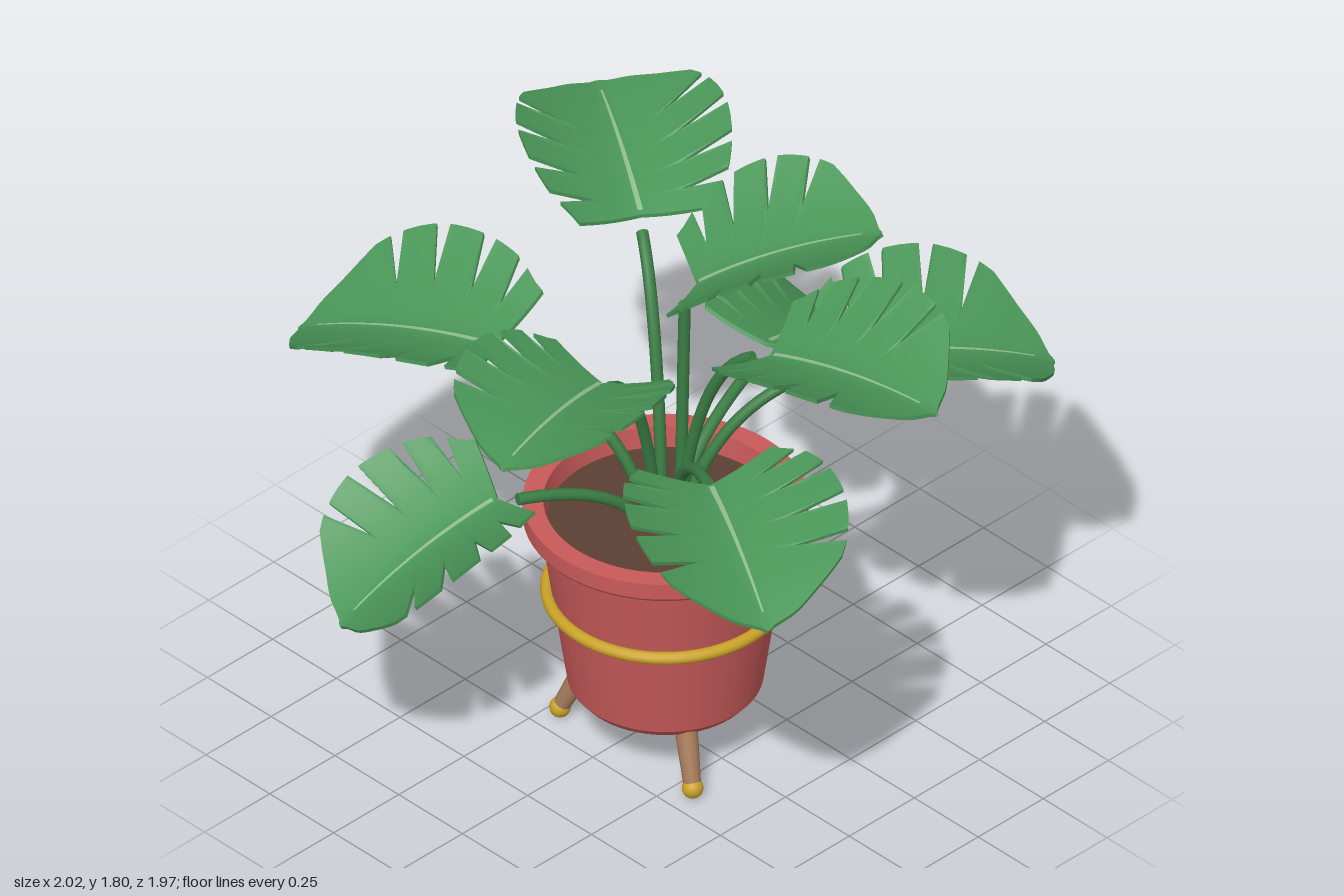
import * as THREE from 'three';
import { toCreasedNormals } from 'three/addons/utils/BufferGeometryUtils.js';

const mat = (name, color) => {
  const m = new THREE.MeshStandardMaterial({ color });
  m.name = name;
  return m;
};
const red = mat('red glaze', 0xc95a5a);
const soilBrown = mat('soil brown', 0x5c4033);
const gold = mat('gold', 0xc9a227);
const wood = mat('wood', 0xa67b5b);
const stemGreen = mat('stem green', 0x3a7d44);
const leafGreen = mat('leaf green', 0x4a9658);
const veinGreen = mat('pale vein green', 0x8fbc8f);

const V = (x, y, z) => new THREE.Vector3(x, y, z);
const CX = 0.06, CZ = 0.03; // pot axis

function add(parent, name, geometry, material) {
  const mesh = new THREE.Mesh(geometry, material);
  mesh.name = name;
  parent.add(mesh);
  return mesh;
}

// Half width of the blade along the midrib, for a leaf of length 1
const outline = new THREE.SplineCurve(
  [0.33, 0.45, 0.51, 0.52, 0.47, 0.375, 0.265, 0.15, 0.004].map((w, i) => new THREE.Vector2(i / 8, w)));
const SLITS = [0.1, 0.22, 0.36, 0.5];
const SLIT_HALF = 0.02;

// A point on the cupped blade: t along the midrib, w sideways (signed)
function bladePoint(t, w, length) {
  const a = Math.abs(w);
  const skew = Math.min(0.5, -0.3 + 1.4 * t);
  const along = t + skew * a;
  const rise = 0.2 * a + 0.42 * a * a + 0.2 * along * (1 - along);
  return V(w * length, rise * length, along * length);
}

// Closed blade: one ring of top and underside points per row
function bladeGeometry(length) {
  const rows = SLITS.flatMap(s => [s - SLIT_HALF, s, s + SLIT_HALF]);
  for (let i = 0; i <= 28; i++) {
    if (SLITS.every(s => Math.abs(i / 28 - s) > SLIT_HALF * 1.2)) rows.push(i / 28);
  }
  rows.sort((a, b) => a - b);
  const half = 5, m = 2 * half + 1, ring = 2 * m, thickness = 0.012;
  const pos = [], idx = [];
  for (const t of rows) {
    let w = outline.getPoint(t).y;
    for (const s of SLITS) w *= 1 - 0.5 * Math.max(0, 1 - Math.abs(t - s) / SLIT_HALF);
    const top = [];
    for (let i = 0; i < m; i++) top.push(bladePoint(t, w * (i - half) / half, length));
    top.forEach(p => pos.push(p.x, p.y, p.z));
    top.reverse().forEach(p => pos.push(p.x, p.y - thickness, p.z));
  }
  for (let r = 0; r < rows.length - 1; r++) {
    for (let i = 0; i < ring; i++) {
      const j = (i + 1) % ring;
      const a = r * ring + i, b = r * ring + j, c = b + ring, d = a + ring;
      idx.push(a, d, b, b, d, c);
    }
  }
  for (let i = 0; i < m - 1; i++) { // close the stem end
    idx.push(i, i + 1, ring - 2 - i, i, ring - 2 - i, ring - 1 - i);
  }
  const g = new THREE.BufferGeometry();
  g.setAttribute('position', new THREE.Float32BufferAttribute(pos, 3));
  g.setIndex(idx);
  return toCreasedNormals(g, 0.7);
}

// Thin tapered strip lying on the midrib
function veinGeometry(length) {
  const g = new THREE.PlaneGeometry(2, 1, 2, 16).rotateX(-Math.PI / 2);
  const p = g.attributes.position;
  for (let i = 0; i < p.count; i++) {
    const t = 0.02 + 0.88 * (p.getZ(i) + 0.5);
    const q = bladePoint(t, 0, length);
    const x = p.getX(i) * 0.008 * (1 - 0.7 * t);
    p.setXYZ(i, x, q.y + 0.004 + Math.abs(x) * 0.2, q.z);
  }
  g.computeVertexNormals();
  return g;
}

function makeLeaf(base, tip) {
  const leaf = new THREE.Group();
  leaf.name = 'leaf';
  const f = tip.clone().sub(base);
  const length = f.length();
  f.normalize();
  const side = V(0, 1, 0).cross(f).normalize();
  const up = f.clone().cross(side);
  leaf.quaternion.setFromRotationMatrix(new THREE.Matrix4().makeBasis(side, up, f));
  leaf.position.copy(base);
  add(leaf, 'leafBlade', bladeGeometry(length), leafGreen);
  add(leaf, 'leafVein', veinGeometry(length), veinGreen);
  return leaf;
}

// Stem rising from the soil and bowing outward
function makeStem(end) {
  const out = V(end.x - CX, 0, end.z - CZ);
  const start = V(CX, 0.7, CZ).addScaledVector(out.clone().normalize(), 0.04);
  const control = start.clone().addScaledVector(out, 0.2);
  control.y = 0.72 + 0.85 * (end.y - 0.72);
  const curve = new THREE.QuadraticBezierCurve3(start, control, end);
  const g = new THREE.Group();
  g.name = 'stem';
  add(g, 'stemTube', new THREE.TubeGeometry(curve, 20, 0.017, 10), stemGreen);
  const cap = add(g, 'stemEnd', new THREE.CircleGeometry(0.017, 10), stemGreen);
  cap.position.copy(end);
  cap.quaternion.setFromUnitVectors(V(0, 0, 1), curve.getTangent(1));
  return g;
}

export function createModel() {
  const model = new THREE.Group();
  model.name = 'pottedPlant';

  // Pot on three legs
  const pot = new THREE.Group();
  pot.name = 'pot';
  pot.position.set(CX, 0, CZ);
  model.add(pot);
  const profile = [[0, 0.18], [0.25, 0.18], [0.27, 0.205], [0.347, 0.74], [0.385, 0.74],
    [0.392, 0.75], [0.392, 0.8], [0.335, 0.8], [0.325, 0.72]].map(p => new THREE.Vector2(...p));
  add(pot, 'potBody', toCreasedNormals(new THREE.LatheGeometry(profile, 64), 0.5), red);
  const soil = add(pot, 'soil', new THREE.CircleGeometry(0.33, 48).rotateX(-Math.PI / 2), soilBrown);
  soil.position.y = 0.735;
  const band = add(pot, 'goldBand', new THREE.TorusGeometry(0.326, 0.018, 12, 64).rotateX(Math.PI / 2), gold);
  band.position.y = 0.5;

  for (const angle of [Math.PI / 6, Math.PI * 5 / 6, Math.PI * 1.5]) {
    const leg = new THREE.Group();
    leg.name = 'leg';
    const at = (r, y) => V(Math.cos(angle) * r, y, Math.sin(angle) * r);
    const foot = at(0.3, 0.03), top = at(0.21, 0.22);
    const dir = top.clone().sub(foot);
    const shaft = add(leg, 'legShaft', new THREE.CylinderGeometry(0.034, 0.024, dir.length(), 16), wood);
    shaft.position.copy(foot).add(top).multiplyScalar(0.5);
    shaft.quaternion.setFromUnitVectors(V(0, 1, 0), dir.normalize());
    add(leg, 'legFoot', new THREE.SphereGeometry(0.03, 16, 12), gold).position.copy(foot);
    pot.add(leg);
  }

  // Each plant shoot: stem end, leaf base, leaf tip
  const shoots = [
    [V(-0.06, 0.96, -0.44), V(-0.08, 0.985, -0.50), V(-0.20, 0.71, -0.97)],
    [V(0.29, 1.17, -0.35), V(0.32, 1.20, -0.41), V(0.61, 1.07, -0.925)],
    [V(0.35, 1.417, -0.02), V(0.41, 1.45, -0.03), V(0.97, 1.505, -0.12)],
    [V(0.45, 1.18, 0.25), V(0.49, 1.21, 0.28), V(0.995, 1.125, 0.55)],
    [V(-0.385, 1.134, 0.195), V(-0.43, 1.16, 0.21), V(-1, 1.016, 0.40)],
    [V(-0.09, 0.94, 0.45), V(-0.11, 0.965, 0.51), V(-0.26, 0.685, 0.965)],
    [V(-0.22, 1.47, -0.155), V(-0.26, 1.49, -0.19), V(-0.735, 1.54, -0.485)],
    [V(0.14, 1.38, 0.32), V(0.15, 1.42, 0.36), V(0.294, 1.48, 0.885)],
    [V(0.095, 1.47, -0.01), V(0.12, 1.54, -0.03), V(0.505, 1.745, -0.365)],
  ];
  for (const [end, base, tip] of shoots) model.add(makeStem(end), makeLeaf(base, tip));

  return model;
}
